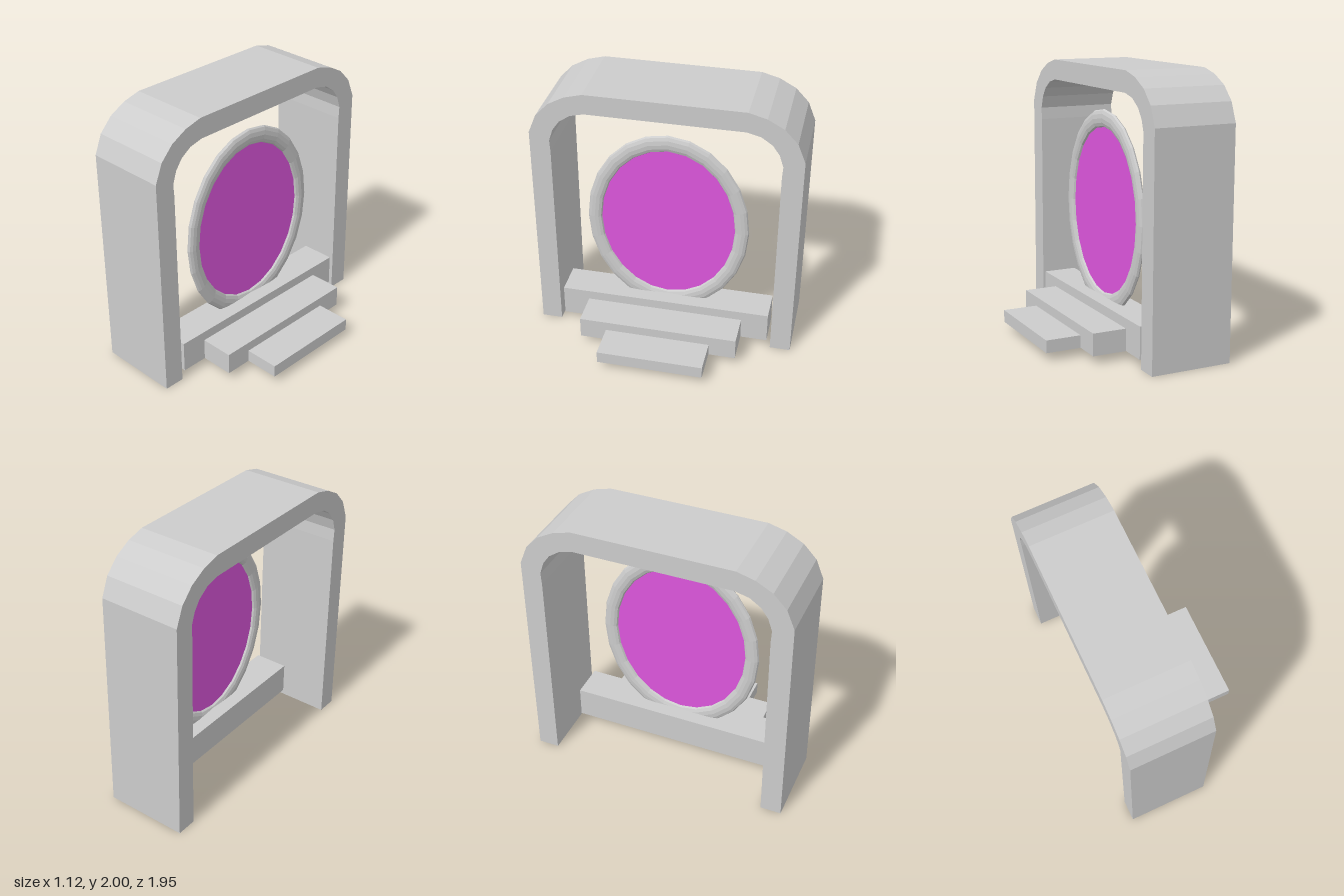
import * as THREE from 'three';

export function createModel() {
  const group = new THREE.Group();
  const stone = new THREE.MeshStandardMaterial({ color: 0xcccccc, flatShading: true });
  stone.name = 'grey stone';
  const glow = new THREE.MeshStandardMaterial({ color: 0xdd56dd, side: THREE.DoubleSide });
  glow.name = 'purple portal';

  const add = (name, geometry, material, x = 0, y = 0, z = 0) => {
    const mesh = new THREE.Mesh(geometry, material);
    mesh.name = name;
    mesh.position.set(x, y, z);
    group.add(mesh);
    return mesh;
  };

  // Arch: half profile of outer and inner edges, mirrored across the middle
  const outer = [[0.977, 0], [0.977, 1.66], [0.92, 1.80], [0.825, 1.90], [0.705, 1.965], [0.575, 2]];
  const inner = [[0.57, 1.85], [0.67, 1.825], [0.75, 1.77], [0.80, 1.70], [0.83, 1.61], [0.825, 1.52], [0.825, 0]];
  const mirror = (points) => points.map(([u, y]) => [-u, y]).reverse();
  const outline = [...outer, ...mirror(outer), ...mirror(inner), ...inner];
  const shape = new THREE.Shape(outline.map(([u, y]) => new THREE.Vector2(u, y)));
  const arch = new THREE.ExtrudeGeometry(shape, { depth: 0.61, bevelEnabled: false });
  arch.rotateY(Math.PI / 2);
  add('arch', arch, stone, -0.56);

  // Oval ring and the portal surface inside it
  const px = -0.085, py = 0.93, stretch = 1.234;
  const ring = new THREE.TorusGeometry(0.553, 0.0525, 12, 24);
  ring.rotateY(Math.PI / 2).scale(0.5, stretch, 1);
  add('portalRing', ring, stone, px, py);
  const disc = new THREE.CircleGeometry(0.53, 24);
  disc.rotateY(Math.PI / 2).scale(1, stretch, 1);
  add('portalSurface', disc, glow, px, py);

  // Base and two descending steps: [name, xMin, xMax, top, half length]
  const bottom = 0.06;
  for (const [name, x0, x1, top, half] of [
    ['portalBase', -0.21, 0.045, 0.295, 0.795],
    ['upperStep', 0.045, 0.298, 0.223, 0.595],
    ['lowerStep', 0.298, 0.56, 0.152, 0.395],
  ]) {
    const box = new THREE.BoxGeometry(x1 - x0, top - bottom, half * 2);
    add(name, box, stone, (x0 + x1) / 2, (top + bottom) / 2);
  }

  return group;
}
